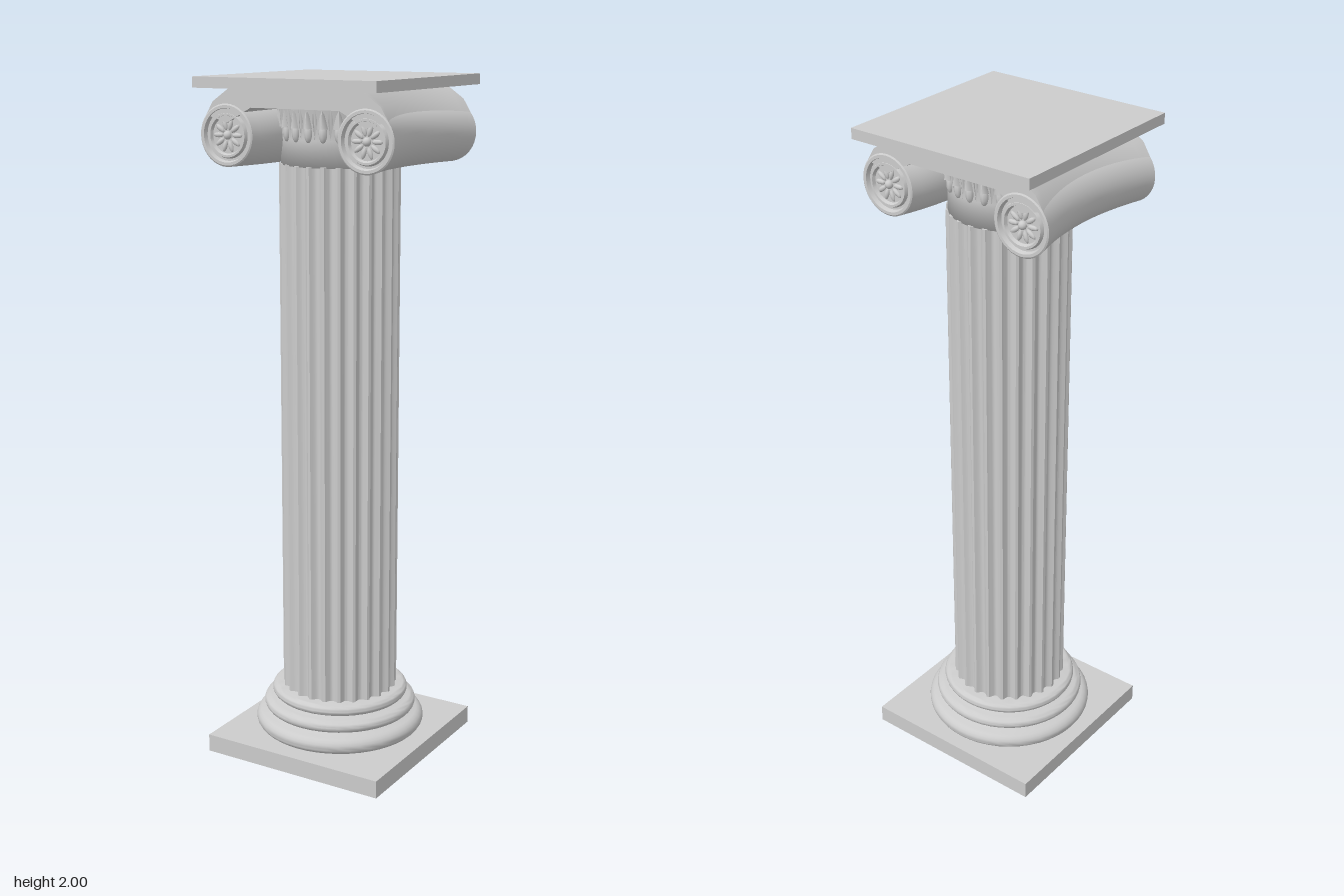
import * as THREE from 'three';
import { toCreasedNormals } from 'three/addons/utils/BufferGeometryUtils.js';

const FLUTES = 24, HALF = 0.237;
const mat = new THREE.MeshStandardMaterial({ color: 0xcccccc, side: THREE.DoubleSide });
const V = (x, y) => new THREE.Vector2(x, y);

function add(parent, name, geo, x = 0, y = 0, z = 0) {
  const m = new THREE.Mesh(geo, mat);
  m.name = name;
  m.position.set(x, y, z);
  parent.add(m);
  return m;
}

// Half-round bulge for a lathe profile
function bulge(r, y0, y1, depth) {
  const pts = [];
  for (let i = 0; i <= 10; i++) {
    const a = -Math.PI / 2 + (Math.PI * i) / 10;
    pts.push(V(r - depth + depth * Math.cos(a), (y0 + y1) / 2 + ((y1 - y0) / 2) * Math.sin(a)));
  }
  return pts;
}

// Vertical column with scalloped grooves
function fluted(r, depth, height) {
  const pts = [], steps = 8;
  for (let f = 0; f < FLUTES; f++) {
    for (let i = 0; i < steps; i++) {
      const t = i / (steps - 1);
      const a = ((f + 0.09 + t * 0.82) / FLUTES) * Math.PI * 2;
      const rr = r - depth * Math.sin(Math.PI * t);
      pts.push(V(Math.cos(a) * rr, Math.sin(a) * rr));
    }
  }
  const g = new THREE.ExtrudeGeometry(new THREE.Shape(pts), { depth: height, bevelEnabled: false });
  return toCreasedNormals(g.rotateX(-Math.PI / 2), 0.6);
}

// Pull the sides in towards the middle of the depth
function waist(geo, rule) {
  const p = geo.attributes.position;
  for (let i = 0; i < p.count; i++) {
    const k = 1 - (p.getZ(i) / HALF) ** 2;
    p.setX(i, rule(p.getX(i), k));
  }
  geo.computeVertexNormals();
  return geo;
}

// Ringed scroll face with a rosette, facing +z
function scrollFace() {
  const g = new THREE.Group();
  g.name = 'scrollFace';
  const profile = [
    V(0.086, 0), V(0.082, 0.003), V(0.074, 0.003), V(0.070, -0.009), V(0.064, -0.009),
    V(0.060, 0.001), V(0.054, 0.001), V(0.050, -0.008), V(0, -0.008),
  ];
  add(g, 'scrollRings', toCreasedNormals(new THREE.LatheGeometry(profile, 36).rotateX(Math.PI / 2), 0.5));
  for (let i = 0; i < 10; i++) {
    const a = (i / 10) * Math.PI * 2;
    const petal = add(g, 'rosettePetal', new THREE.SphereGeometry(1, 8, 6),
      Math.cos(a) * 0.031, Math.sin(a) * 0.031, -0.007);
    petal.scale.set(0.017, 0.007, 0.006);
    petal.rotation.z = a;
  }
  add(g, 'rosetteEye', new THREE.SphereGeometry(0.012, 14, 8), 0, 0, -0.006);
  return g;
}

export function createModel() {
  const model = new THREE.Group();
  model.name = 'column';

  // Square slabs at the foot and the top
  add(model, 'plinth', new THREE.BoxGeometry(0.582, 0.053, 0.582), 0.005, 0.0265, 0.002);
  add(model, 'abacus', new THREE.BoxGeometry(0.576, 0.03, 0.592), -0.002, 1.985, 0);

  // Three stacked rounded mouldings
  const base = [
    ...bulge(0.255, 0.053, 0.106, 0.03), V(0.215, 0.11),
    ...bulge(0.23, 0.112, 0.15, 0.022), V(0.195, 0.153),
    ...bulge(0.205, 0.155, 0.188, 0.018), V(0.1, 0.188),
  ];
  add(model, 'baseMouldings', toCreasedNormals(new THREE.LatheGeometry(base, 48), 0.7));

  // Shaft and neck
  add(model, 'shaft', fluted(0.172, 0.014, 1.575), 0, 0.185, 0);
  add(model, 'neck', new THREE.LatheGeometry([
    V(0.1, 1.755), V(0.166, 1.757), V(0.166, 1.83), V(0.168, 1.87), V(0.178, 1.925),
  ], 48));

  // Ring of eggs and darts around the neck
  const ornament = new THREE.Group();
  ornament.name = 'neckOrnament';
  for (let i = 0; i < FLUTES; i++) {
    const spoke = new THREE.Group();
    spoke.rotation.y = (i / FLUTES) * Math.PI * 2;
    const egg = add(spoke, 'egg', new THREE.SphereGeometry(1, 8, 8), 0, 1.85, 0.167);
    egg.scale.set(0.012, 0.026, 0.011);
    const leaf = add(spoke, 'pointedLeaf', new THREE.ConeGeometry(0.016, 0.065, 4), 0, 1.895, 0.173);
    leaf.scale.z = 0.7;
    const dart = new THREE.Group();
    dart.rotation.y = Math.PI / FLUTES;
    const tip = add(dart, 'dart', new THREE.ConeGeometry(0.012, 0.09, 4), 0, 1.875, 0.17);
    tip.rotation.x = Math.PI;
    tip.scale.z = 0.7;
    spoke.add(dart);
    ornament.add(spoke);
  }
  model.add(ornament);

  // Slab that slopes down onto the scrolls
  const cushion = new THREE.Shape([
    V(-0.14, 1.918), V(0.14, 1.918), V(0.22, 1.875), V(0.288, 1.895), V(0.265, 1.932), V(0.208, 1.971),
    V(-0.208, 1.971), V(-0.265, 1.932), V(-0.288, 1.895), V(-0.22, 1.875),
  ]);
  const slab = new THREE.ExtrudeGeometry(cushion, { depth: HALF * 2, steps: 16, bevelEnabled: false });
  slab.translate(0, 0, -HALF);
  add(model, 'scrollCushion', toCreasedNormals(waist(slab, (x, k) => x * (1 - 0.14 * k)), 0.5));

  // Bowed rolls on both sides, with a scroll face at each end
  for (const s of [-1, 1]) {
    const roll = new THREE.CylinderGeometry(0.086, 0.086, HALF * 2, 36, 16, true).rotateX(Math.PI / 2);
    const side = new THREE.Group();
    side.name = s > 0 ? 'leftScroll' : 'rightScroll';
    side.position.set(s * 0.221, 1.841, 0);
    add(side, 'scrollRoll', waist(roll, (x, k) => x - s * 0.035 * k));
    for (const e of [-1, 1]) {
      const face = scrollFace();
      face.position.z = e * HALF;
      if (e < 0) face.rotation.y = Math.PI;
      side.add(face);
    }
    model.add(side);
  }
  return model;
}
